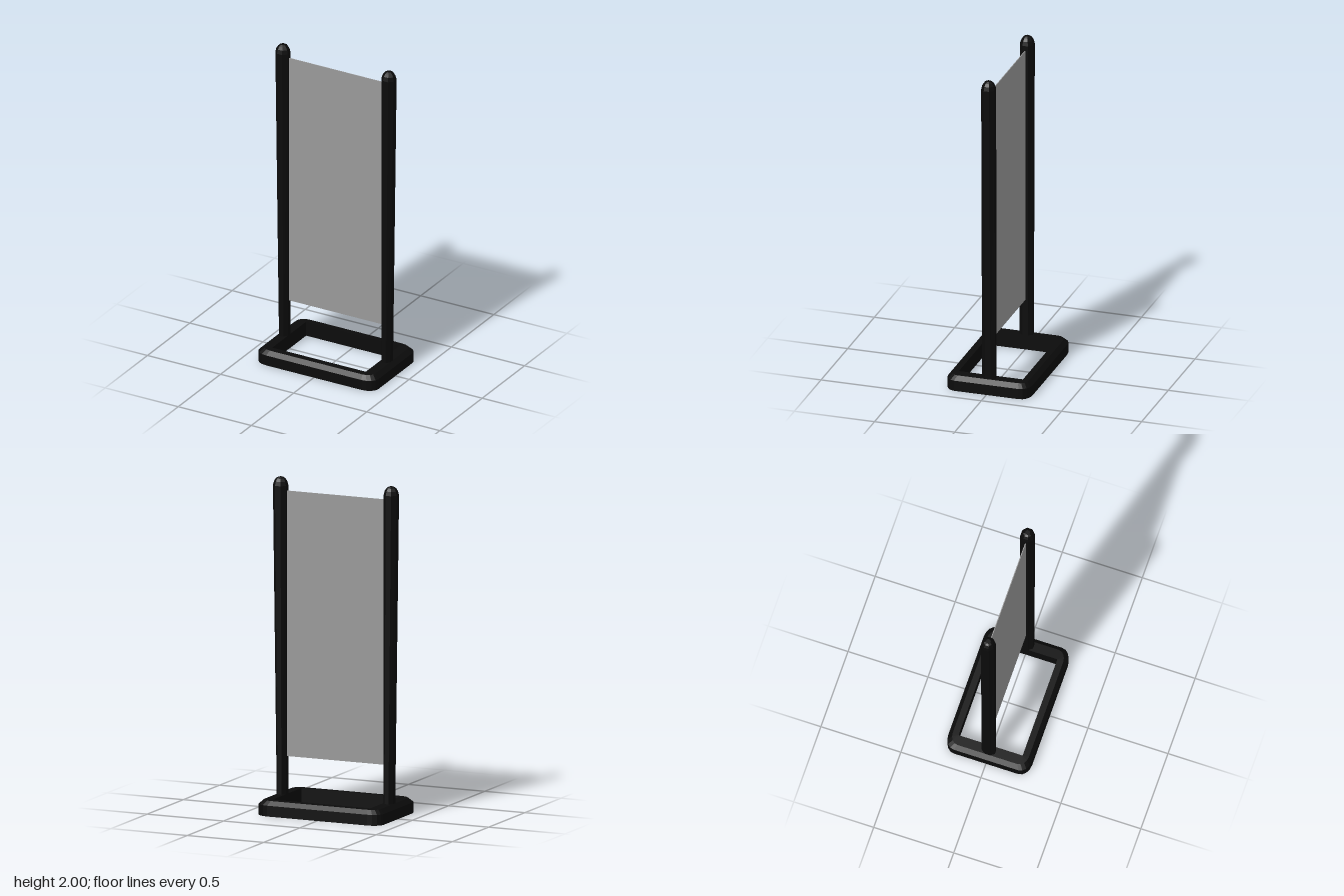
import * as THREE from 'three';

const frameMat = new THREE.MeshStandardMaterial({ color: 0x0b0b0b, flatShading: true, side: THREE.DoubleSide });
const panelMat = new THREE.MeshStandardMaterial({ color: 0x999999 });

// Skin consecutive rings of [x, y, z] points that all have the same count.
function loft(rings, capTop = false) {
  const n = rings[0].length;
  const index = [];
  for (let i = 0; i < rings.length - 1; i++) {
    for (let j = 0; j < n; j++) {
      const k = (j + 1) % n;
      const a = i * n + j, b = i * n + k, c = a + n, d = b + n;
      index.push(a, c, b, b, c, d);
    }
  }
  if (capTop) {
    const s = (rings.length - 1) * n;
    for (let j = 1; j < n - 1; j++) index.push(s, s + j + 1, s + j);
  }
  const geo = new THREE.BufferGeometry();
  geo.setAttribute('position', new THREE.Float32BufferAttribute(rings.flat(2), 3));
  geo.setIndex(index);
  const flat = geo.toNonIndexed();
  flat.computeVertexNormals();
  return flat;
}

// Rounded rectangle ring; zero radii collapse each corner to one point.
function rectRing(y, hx, hz, rx, rz) {
  const pts = [];
  const steps = 4;
  [[1, 1], [-1, 1], [-1, -1], [1, -1]].forEach(([sx, sz], q) => {
    for (let i = 0; i <= steps; i++) {
      const t = (q + i / steps) * Math.PI / 2;
      pts.push([sx * (hx - rx) + rx * Math.cos(t), y, sz * (hz - rz) + rz * Math.sin(t)]);
    }
  });
  return pts;
}

// Chamfered octagonal post section between the inner and outer faces.
function postRing(y, xOut, scale) {
  const xIn = 0.32, mid = (xIn + xOut) / 2, hx = (xOut - xIn) / 2 * scale, hz = 0.041 * scale;
  const pts = [];
  for (let i = 0; i < 8; i++) {
    const t = (i + 0.5) * Math.PI / 4, r = 1 / Math.cos(Math.PI / 8);
    pts.push([mid + hx * r * Math.cos(t), y, hz * r * Math.sin(t)]);
  }
  return pts;
}

export function createModel() {
  const model = new THREE.Group();
  model.name = 'displayStand';
  const add = (name, geo, mat) => {
    const mesh = new THREE.Mesh(geo, mat);
    mesh.name = name;
    model.add(mesh);
    return mesh;
  };

  // Base frame: rounded outside with a chamfered top, square opening
  const bottom = rectRing(0, 0.407, 0.262, 0.08, 0.06);
  add('baseFrame', loft([
    bottom,
    rectRing(0.065, 0.407, 0.262, 0.08, 0.06),
    rectRing(0.09, 0.38, 0.238, 0.065, 0.05),
    rectRing(0.092, 0.32, 0.2, 0, 0),
    rectRing(0, 0.32, 0.2, 0, 0),
    bottom,
  ]), frameMat);

  // Posts: widen toward the top and end in a faceted dome
  const post = loft([
    postRing(0.07, 0.38, 1),
    postRing(1.95, 0.405, 1),
    postRing(1.975, 0.405, 0.86),
    postRing(1.992, 0.405, 0.62),
    postRing(2, 0.405, 0.34),
  ], true);
  add('leftPost', post, frameMat);
  add('rightPost', post, frameMat).rotation.y = Math.PI;

  // Thin sheet held between the posts
  add('panel', new THREE.BoxGeometry(0.644, 1.6, 0.005), panelMat).position.y = 1.12;

  return model;
}
